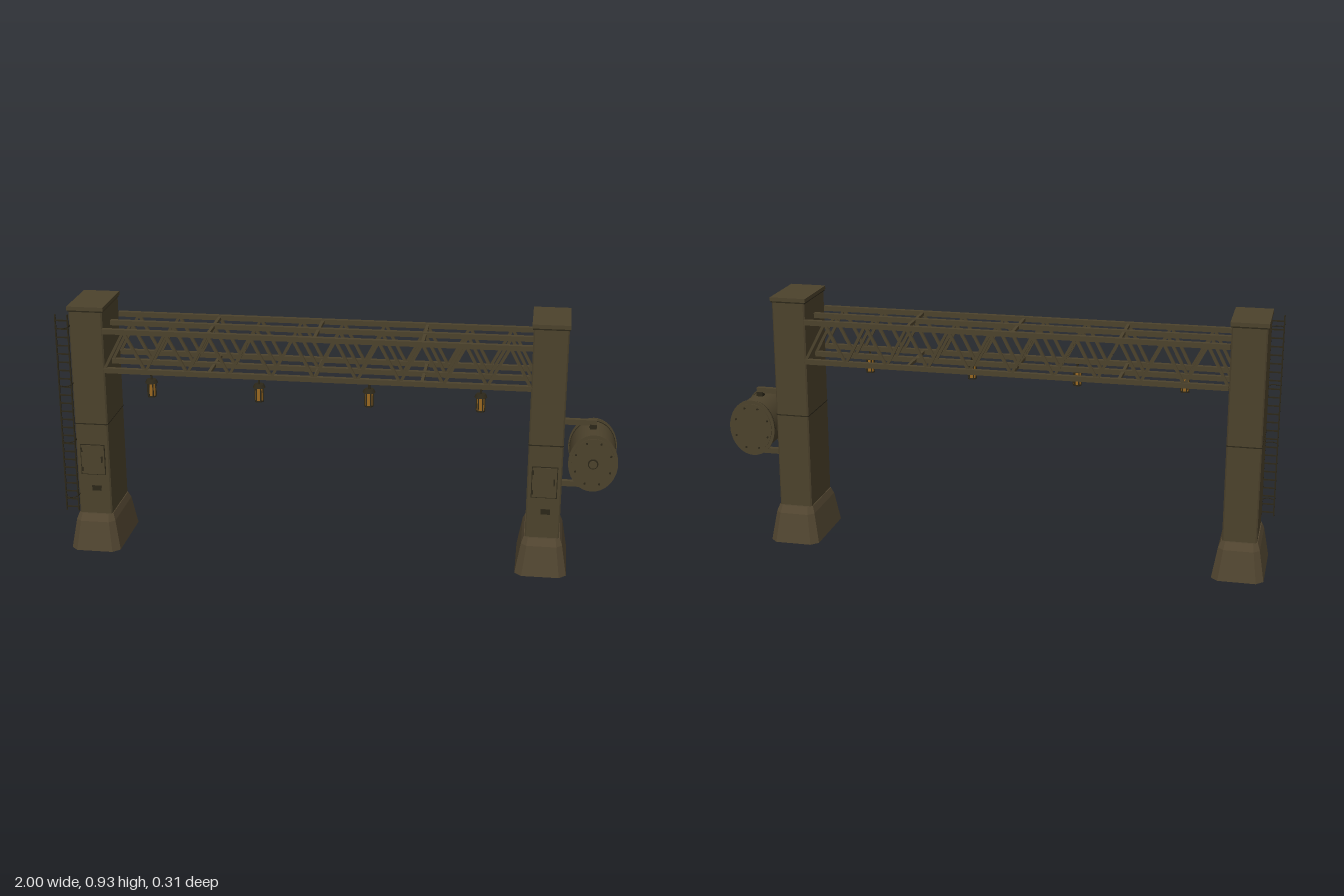
import * as THREE from 'three';

const paint = (name, color, side = THREE.FrontSide) => {
  const m = new THREE.MeshStandardMaterial({ color, side });
  m.name = name;
  return m;
};

export function createModel() {
  const steel = paint('olive steel', 0x4c422c);
  const concrete = paint('brown footing', 0x514530);
  const dark = paint('dark iron', 0x2c2719);
  const amber = paint('amber glass', 0x9a6820);

  const root = new THREE.Group();
  root.name = 'gantry';

  const add = (parent, name, geo, mat, x = 0, y = 0, z = 0) => {
    const m = new THREE.Mesh(geo, mat);
    m.name = name;
    m.position.set(x, y, z);
    parent.add(m);
    return m;
  };
  const box = (parent, name, w, h, d, mat, x, y, z) =>
    add(parent, name, new THREE.BoxGeometry(w, h, d), mat, x, y, z);
  const group = (name, x = 0, y = 0, z = 0) => {
    const g = new THREE.Group();
    g.name = name;
    g.position.set(x, y, z);
    root.add(g);
    return g;
  };

  // Faceted column from chamfered rectangles: rows are [y, halfX, halfZ, chamfer]
  const loft = (rows) => {
    const rings = rows.map(([y, a, b, c]) => [
      [a, b - c], [a, c - b], [a - c, -b], [c - a, -b],
      [-a, c - b], [-a, b - c], [c - a, b], [a - c, b],
    ].map(([x, z]) => new THREE.Vector3(x, y, z)));
    const pts = [];
    for (let r = 0; r + 1 < rings.length; r++) {
      for (let i = 0; i < 8; i++) {
        const j = (i + 1) % 8, lo = rings[r], hi = rings[r + 1];
        pts.push(lo[i], lo[j], hi[j], lo[i], hi[j], hi[i]);
      }
    }
    const bottom = rings[0], top = rings[rings.length - 1];
    for (let i = 1; i < 7; i++) {
      pts.push(top[0], top[i], top[i + 1], bottom[0], bottom[i + 1], bottom[i]);
    }
    const g = new THREE.BufferGeometry().setFromPoints(pts);
    g.computeVertexNormals();
    return g;
  };

  // Pillars with footing, cap, seam and service door
  const pillarX = [-0.893, 0.746];
  pillarX.forEach((px, i) => {
    const g = group(i ? 'leftPillar' : 'rightPillar', px);
    add(g, 'footing', loft([[0, 0.092, 0.155, 0.025], [0.11, 0.073, 0.135, 0.02],
      [0.135, 0.064, 0.119, 0.015]]), concrete);
    add(g, 'shaft', loft([[0.13, 0.061, 0.11, 0.005], [0.915, 0.061, 0.11, 0.005]]), steel);
    box(g, 'capLip', 0.127, 0.006, 0.224, dark, 0, 0.909, 0);
    box(g, 'cap', 0.132, 0.014, 0.226, steel, 0, 0.918, 0);
    add(g, 'seam', loft([[0.483, 0.0618, 0.1108, 0.005], [0.487, 0.0618, 0.1108, 0.005]]), dark);
    box(g, 'doorFrame', 0.092, 0.118, 0.003, dark, 0, 0.347, 0.1105);
    box(g, 'door', 0.086, 0.112, 0.005, steel, 0, 0.347, 0.1115);
    for (const y of [0.31, 0.385]) box(g, 'hinge', 0.006, 0.016, 0.008, dark, -0.041, y, 0.113);
    box(g, 'doorHandle', 0.005, 0.024, 0.008, dark, 0.034, 0.35, 0.115);
    box(g, 'ratingPlate', 0.034, 0.02, 0.003, dark, 0.008, 0.235, 0.1105);
  });

  // Truss girders: chords plus ten triangular panels each
  const x0 = -0.832, x1 = 0.685, lowY = 0.695, highY = 0.84, panels = 10;
  const span = x1 - x0, midX = (x0 + x1) / 2, step = span / panels;
  for (const [name, z] of [['frontTruss', 0.113], ['middleTruss', 0], ['backTruss', -0.113]]) {
    const g = group(name, 0, 0, z);
    for (const y of [lowY, highY]) box(g, 'chord', span, 0.018, 0.018, steel, midX, y, 0);
    const rise = highY - lowY, len = Math.hypot(step / 2, rise);
    for (let i = 0; i < panels * 2; i++) {
      const s = i % 2 ? -1 : 1;
      const d = box(g, 'diagonal', len, 0.01, 0.01, steel,
        x0 + step * (i + 0.5) / 2, (lowY + highY) / 2, 0);
      d.rotation.z = s * Math.atan2(rise, step / 2);
    }
  }
  for (let i = 1; i < 4; i++) {
    for (const y of [lowY, highY]) {
      box(root, 'crossBrace', 0.011, 0.011, 0.226, steel, x0 + span * i / 4, y, 0);
    }
  }

  // Hanging lamps with a cage around amber glass
  for (const x of [-0.66, -0.27, 0.122, 0.513]) {
    const g = group('lamp', x, 0, 0.113);
    add(g, 'stem', new THREE.CylinderGeometry(0.004, 0.004, 0.03, 8), dark, 0, 0.68, 0);
    add(g, 'lampCap', new THREE.CylinderGeometry(0.017, 0.023, 0.012, 12), dark, 0, 0.662, 0);
    add(g, 'glass', new THREE.CylinderGeometry(0.0135, 0.0135, 0.048, 12), amber, 0, 0.632, 0);
    add(g, 'lampFoot', new THREE.CylinderGeometry(0.016, 0.016, 0.005, 12), dark, 0, 0.606, 0);
    for (let i = 0; i < 6; i++) {
      const a = i * Math.PI / 3;
      box(g, 'cageBar', 0.004, 0.05, 0.004, dark, 0.015 * Math.cos(a), 0.632, 0.015 * Math.sin(a));
    }
  }

  // Oval drum lying along z beside the left pillar
  const drum = group('drum', 0.912, 0.42, 0);
  const disc = (name, rx, ry, depth, mat, z) => {
    const geo = new THREE.CylinderGeometry(1, 1, depth, 36).rotateX(Math.PI / 2).scale(rx, ry, 1);
    return add(drum, name, geo, mat, 0, 0, z);
  };
  disc('drumBody', 0.081, 0.099, 0.18, steel, 0);
  for (const s of [-1, 1]) {
    disc('flange', 0.087, 0.106, 0.007, steel, s * 0.088);
    disc('endPlate', 0.076, 0.093, 0.004, steel, s * 0.093);
    disc('band', 0.083, 0.101, 0.004, dark, s * 0.074);
    for (let i = 0; i < 8; i++) {
      const a = (i + 0.5) * Math.PI / 4;
      const bolt = new THREE.CylinderGeometry(0.004, 0.004, 0.004, 6).rotateX(Math.PI / 2);
      add(drum, 'bolt', bolt, dark, 0.066 * Math.cos(a), 0.081 * Math.sin(a), s * 0.096);
    }
  }
  disc('hubRing', 0.018, 0.018, 0.008, dark, 0.097);
  disc('hub', 0.014, 0.014, 0.012, steel, 0.098);

  // Arms carrying the drum
  for (const [y, inward] of [[0.541, -1], [0.306, 1]]) {
    box(root, 'drumArm', 0.116, 0.02, 0.018, steel, 0.862, y, 0);
    box(root, 'armPad', 0.024, 0.016, 0.026, dark, 0.908, y + inward * 0.014, 0);
  }

  // Ladder with half-round guard hoops
  const ladder = group('ladder', -0.974, 0, 0.13);
  for (const s of [-1, 1]) box(ladder, 'ladderRail', 0.005, 0.75, 0.005, dark, s * 0.0225, 0.525, 0);
  for (let i = 0; i < 24; i++) {
    box(ladder, 'rung', 0.045, 0.005, 0.004, dark, 0, 0.165 + i * 0.031, 0);
  }
  for (const y of [0.21, 0.425, 0.64, 0.855]) {
    const hoop = new THREE.TorusGeometry(0.0225, 0.002, 5, 14, Math.PI).rotateX(Math.PI / 2);
    add(ladder, 'hoop', hoop, dark, 0, y, 0);
    box(ladder, 'wallBracket', 0.005, 0.005, 0.035, dark, 0.0225, y, -0.0175);
  }

  return root;
}
